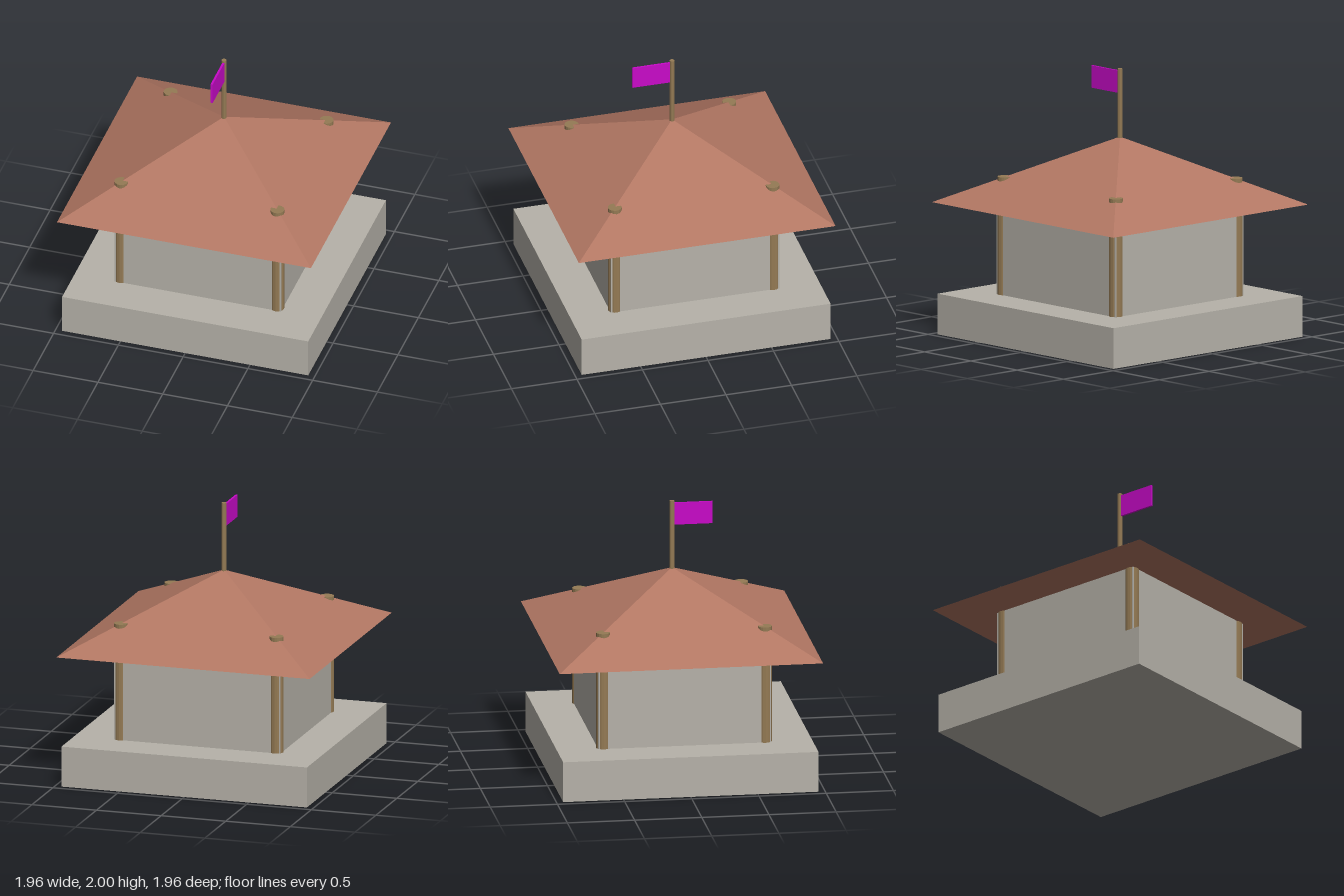
import * as THREE from 'three';

export function createModel() {
  const model = new THREE.Group();
  model.name = 'pavilion';

  const material = (name, color, flatShading = false) => {
    const m = new THREE.MeshStandardMaterial({ color, flatShading });
    m.name = name;
    return m;
  };
  const stone = material('stone', 0xb6b2a9);
  const tile = material('roofTile', 0xb27763, true);
  const wood = material('wood', 0x947a54, true);
  const cloth = material('flagCloth', 0xc80ac8);

  const add = (name, geometry, mat, x, y, z) => {
    const mesh = new THREE.Mesh(geometry, mat);
    mesh.name = name;
    mesh.position.set(x, y, z);
    model.add(mesh);
    return mesh;
  };

  // Stone plinth and the square room on it
  const plinthTop = 0.305, eaves = 0.99, apex = 1.49;
  add('plinth', new THREE.BoxGeometry(1.9, plinthTop, 1.9), stone, 0, plinthTop / 2, 0);
  const wallHeight = eaves - plinthTop;
  add('walls', new THREE.BoxGeometry(1.286, wallHeight, 1.286), stone, 0, plinthTop + wallHeight / 2, 0);

  // Corner posts whose tops poke through the roof hips
  const postTop = 1.187;
  const postGeometry = new THREE.CylinderGeometry(0.052, 0.052, postTop - plinthTop, 16);
  for (const x of [-1, 1]) {
    for (const z of [-1, 1]) {
      const name = (z > 0 ? 'front' : 'back') + (x > 0 ? 'Left' : 'Right') + 'Post';
      add(name, postGeometry, wood, x * 0.602, (postTop + plinthTop) / 2, z * 0.602);
    }
  }

  // Pyramid roof, closed underneath
  const roofGeometry = new THREE.ConeGeometry(0.98 * Math.SQRT2, apex - eaves, 4);
  roofGeometry.rotateY(Math.PI / 4);
  add('roof', roofGeometry, tile, 0, (apex + eaves) / 2, 0);

  // Flagpole rising from the apex, with the flag flying forward
  const poleBottom = 1.4;
  add('flagpole', new THREE.CylinderGeometry(0.018, 0.018, 2 - poleBottom, 12), wood, 0, (2 + poleBottom) / 2, 0);
  add('flag', new THREE.BoxGeometry(0.016, 0.167, 0.3), cloth, 0, 1.9, 0.152);

  return model;
}
